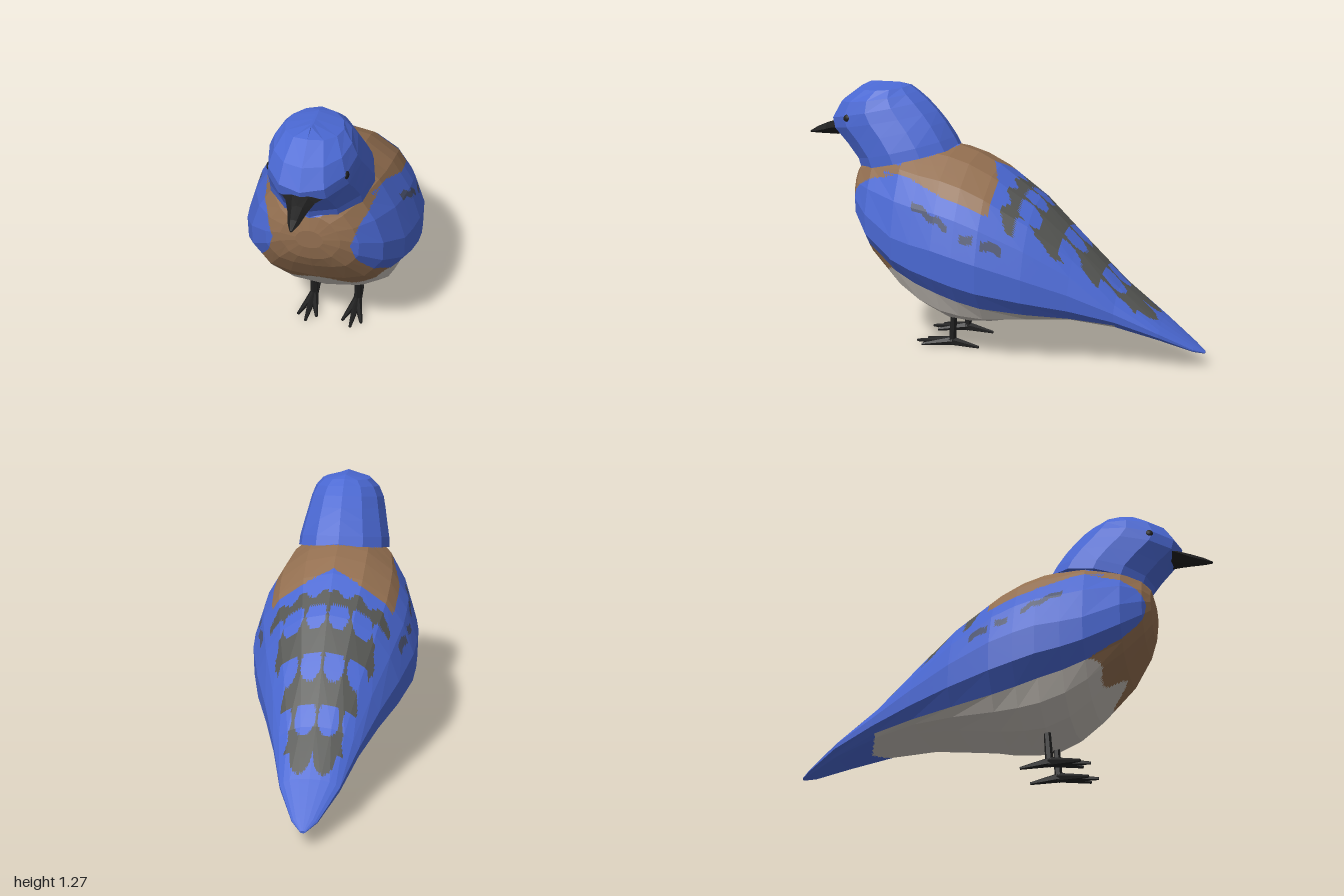
import * as THREE from 'three';

const mat = (name, color) => Object.assign(new THREE.MeshStandardMaterial({ color }), { name });
const blue = mat('blue plumage', 0x4a68d2);
const brown = mat('brown plumage', 0x936f50);
const grey = mat('grey belly', 0xc4beb7);
const slate = mat('slate feather', 0x545552);
const dusk = mat('dusky fleck', 0x4c5470);
const black = mat('black', 0x1e1e1e);

// Piecewise linear lookup in a table of [input, output] pairs, ascending
function lookup(table, v) {
  if (v <= table[0][0]) return table[0][1];
  for (let i = 1; i < table.length; i++) {
    const [a, p] = table[i - 1], [b, q] = table[i];
    if (v <= b) return p + (q - p) * (v - a) / (b - a);
  }
  return table[table.length - 1][1];
}

// Joins closed rings into faceted triangles with both ends capped
function loftFaces(rings) {
  const faces = [], n = rings[0].length;
  const centre = ring => ring.reduce((s, p) => s.add(p), new THREE.Vector3()).divideScalar(n);
  const first = rings[0], last = rings[rings.length - 1];
  const c0 = centre(first), c1 = centre(last);
  for (let j = 0; j < n; j++) {
    const k = (j + 1) % n;
    faces.push([c0, first[k], first[j]], [c1, last[j], last[k]]);
    for (let i = 0; i < rings.length - 1; i++) {
      const a = rings[i][j], b = rings[i][k], c = rings[i + 1][k], d = rings[i + 1][j];
      if (j < n / 2) faces.push([a, b, c], [a, c, d]);
      else faces.push([a, b, d], [b, c, d]);
    }
  }
  return faces;
}

// Cuts every facet into n x n flat pieces and groups them by painted material
function paintedMesh(name, faces, n, materials, paint) {
  const buckets = materials.map(() => []);
  const u = new THREE.Vector3(), v = new THREE.Vector3();
  for (const [a, b, c] of faces) {
    u.subVectors(b, a).divideScalar(n);
    v.subVectors(c, a).divideScalar(n);
    const at = (i, j) => a.clone().addScaledVector(u, i).addScaledVector(v, j);
    const add = (p, q, r) => {
      const m = p.clone().add(q).add(r).divideScalar(3);
      const out = buckets[materials.indexOf(paint(m))];
      for (const w of [p, q, r]) out.push(w.x, w.y, w.z);
    };
    for (let i = 0; i < n; i++) for (let j = 0; j < n - i; j++) {
      add(at(i, j), at(i + 1, j), at(i, j + 1));
      if (i + j < n - 1) add(at(i + 1, j), at(i + 1, j + 1), at(i, j + 1));
    }
  }
  const geometry = new THREE.BufferGeometry();
  geometry.setAttribute('position', new THREE.Float32BufferAttribute(buckets.flat(), 3));
  let start = 0;
  buckets.forEach((b, i) => {
    geometry.addGroup(start, b.length / 3, i);
    start += b.length / 3;
  });
  geometry.computeVertexNormals();
  const mesh = new THREE.Mesh(geometry, materials.length > 1 ? materials : materials[0]);
  mesh.name = name;
  return mesh;
}

// Body sections: z, top, widest height, wing lower edge, belly, half width
const SECTIONS = [
  [0.72, 0.80, 0.76, 0.73, 0.71, 0.06],
  [0.705, 0.87, 0.76, 0.69, 0.64, 0.13],
  [0.67, 0.92, 0.73, 0.62, 0.575, 0.205],
  [0.58, 0.98, 0.68, 0.52, 0.445, 0.295],
  [0.42, 1.02, 0.60, 0.42, 0.27, 0.365],
  [0.32, 1.00, 0.58, 0.375, 0.19, 0.385],
  [0.21, 0.985, 0.565, 0.34, 0.143, 0.40],
  [0.11, 0.955, 0.54, 0.31, 0.14, 0.40],
  [0.00, 0.90, 0.51, 0.285, 0.153, 0.39],
  [-0.20, 0.76, 0.445, 0.262, 0.195, 0.335],
  [-0.40, 0.57, 0.37, 0.245, 0.217, 0.26],
  [-0.60, 0.375, 0.28, 0.215, 0.185, 0.19],
  [-0.80, 0.22, 0.185, 0.155, 0.13, 0.13],
  [-0.95, 0.115, 0.10, 0.09, 0.08, 0.055],
  [-1.00, 0.08, 0.077, 0.073, 0.07, 0.012],
];
const WING_LOWER = SECTIONS.map(s => [s[0], s[3]]).reverse();
const WING_UPPER = [[-0.05, 0.71], [0, 0.73], [0.2, 0.80], [0.38, 0.87], [0.5, 0.88], [0.58, 0.86], [0.64, 0.82]];
const WING_FRONT = [[0.28, 0.32], [0.4, 0.31], [0.5, 0.27], [0.62, 0.2], [0.72, 0.17], [0.8, 0.2], [0.87, 0.25]];
const HEAD_LINE = [[0.2, 0.985], [0.3, 0.95], [0.42, 0.925]];
const MANTLE = [[-0.78, 0.1], [-0.5, 0.16], [-0.3, 0.22], [-0.1, 0.28]];

// Domed back, upright flank, tucked wing underside, then rounded belly
function bodyRing([z, top, wide, low, belly, w]) {
  const half = [[0, top]];
  for (let i = 1; i <= 3; i++) {
    const t = Math.PI / 2 * (1 - i / 4);
    half.push([w * 0.94 * Math.cos(t), wide + (top - wide) * Math.sin(t)]);
  }
  half.push([w, wide], [w * 0.995, low + (wide - low) * 0.4]);
  for (let i = 0; i <= 3; i++) {
    const t = Math.PI / 6 * i;
    half.push([w * 0.83 * Math.cos(t), low - (low - belly) * Math.sin(t)]);
  }
  const mirrored = half.slice(1, -1).reverse().map(([x, y]) => [-x, y]);
  return half.concat(mirrored).map(([x, y]) => new THREE.Vector3(x, y, z));
}

// Blue feather tips over the slate mantle, ending in two slate lobes
function mantle(x, z) {
  const edge = lookup(MANTLE, z) + 0.015 * Math.sin(z * 33);
  if (z > -0.09 + 0.015 * Math.sin(x * 60) || x > edge) return blue;
  if (z < -0.69 && Math.hypot((x - 0.052) / 0.05, (z + 0.69) / 0.09) > 1) return blue;
  for (const row of [-0.19, -0.38, -0.57]) for (const col of [0.052, 0.16, 0.255]) {
    const r = Math.hypot((x - col) / 0.047, (z - row) / (z < row ? 0.06 : 0.07));
    if (r < 1 && z < row + 0.045) return blue;
  }
  return slate;
}

function plumage({ x, y, z }) {
  const ax = Math.abs(x);
  const chest = () => (y < 0.39 + 0.038 * Math.cos(x * 21) ? grey : brown);
  if (y < lookup(WING_LOWER, z) && z < 0.5) {
    if (z < -0.66 + ax * 0.4) return blue;
    return z < 0.3 ? grey : chest();
  }
  // feathers meeting the head
  if (z > 0.42 ? y > 0.857 + 0.25 * ax : z > 0.2 && y > lookup(HEAD_LINE, z)) return blue;
  if (z > 0.3 && ax < lookup(WING_FRONT, y) && y < 0.87) return chest();
  const backEdge = -0.03 + 0.06 * Math.max(0, 1 - ax / 0.14);
  if (z > backEdge && y > lookup(WING_UPPER, z)) return brown;
  // flecks along the folded wing
  const wave = 0.007 * Math.sin(z * 75);
  if (z > 0.14 && z < 0.33 && Math.abs(y - 0.595 - 0.5 * z - wave) < 0.017) return dusk;
  if (z > -0.11 && z < 0.08 && Math.abs(z) > 0.02 && Math.abs(y - 0.605 - 0.3 * z - wave) < 0.02) return dusk;
  return z < 0 ? mantle(ax, z) : blue;
}

// Tilted oval ring between a front and a back point; drop lowers the sides
function headRing([zf, yf, zb, yb, w, drop = 0]) {
  const ring = [];
  for (let i = 0; i < 12; i++) {
    const t = i / 12 * Math.PI * 2, f = (1 + Math.cos(t)) / 2, s = Math.sin(t);
    ring.push(new THREE.Vector3(w * s, yb + (yf - yb) * f - drop * Math.abs(s), zb + (zf - zb) * f));
  }
  return ring;
}
const HEAD = [
  [0.705, 0.853, 0.21, 0.975, 0.232],
  [0.72, 0.90, 0.235, 1.02, 0.228],
  [0.78, 0.97, 0.28, 1.09, 0.212],
  [0.85, 1.04, 0.32, 1.14, 0.198],
  [0.86, 1.09, 0.37, 1.19, 0.186],
  [0.81, 1.175, 0.42, 1.23, 0.163, 0.008],
  [0.71, 1.247, 0.46, 1.257, 0.124, 0.012],
  [0.66, 1.27, 0.51, 1.27, 0.004],
];

// Beak sections: z, top, middle, bottom, half width
const BEAK = [
  [1.0, 1.006, 1.003, 0.998, 0.006],
  [0.96, 1.03, 1.01, 0.997, 0.024],
  [0.9, 1.055, 1.025, 0.997, 0.04],
  [0.85, 1.07, 1.04, 0.997, 0.06],
  [0.79, 1.078, 1.045, 1.005, 0.105],
];
const beakRing = ([z, top, mid, low, w]) => [
  [0, top], [w * 0.55, top - (top - mid) * 0.2], [w, mid], [w * 0.45, low + (mid - low) * 0.25],
  [0, low], [-w * 0.45, low + (mid - low) * 0.25], [-w, mid], [-w * 0.55, top - (top - mid) * 0.2],
].map(([x, y]) => new THREE.Vector3(x, y, z));

// Tapered low-poly rod between two points
function rod(name, from, to, r0, r1) {
  const a = new THREE.Vector3(...from), b = new THREE.Vector3(...to);
  const geometry = new THREE.CylinderGeometry(r1, r0, a.distanceTo(b), 6).toNonIndexed();
  geometry.computeVertexNormals();
  const mesh = new THREE.Mesh(geometry, black);
  mesh.name = name;
  mesh.position.copy(a).lerp(b, 0.5);
  mesh.quaternion.setFromUnitVectors(new THREE.Vector3(0, 1, 0), b.sub(a).normalize());
  return mesh;
}

export function createModel() {
  const bird = new THREE.Group();
  bird.name = 'bird';
  bird.add(
    paintedMesh('body', loftFaces(SECTIONS.map(bodyRing)), 13, [blue, brown, grey, slate, dusk], plumage),
    paintedMesh('head', loftFaces(HEAD.map(headRing)), 1, [blue], () => blue),
    paintedMesh('beak', loftFaces(BEAK.map(beakRing)), 1, [black], () => black),
  );
  for (const [label, s] of [['left', 1], ['right', -1]]) {
    const eye = new THREE.Mesh(new THREE.IcosahedronGeometry(0.021, 1), black);
    eye.name = label + 'Eye';
    eye.position.set(s * 0.158, 1.106, 0.718);
    eye.scale.x = 0.7;
    bird.add(eye);

    // leg with three front toes and one back toe
    const leg = new THREE.Group();
    leg.name = label + 'Leg';
    const x = s * 0.11;
    leg.add(rod('shank', [x, 0.02, 0.215], [x, 0.19, 0.205], 0.019, 0.016));
    for (const [dx, z] of [[0, 0.4], [0.046, 0.36], [-0.046, 0.36], [0, 0.08]]) {
      leg.add(rod('toe', [x, 0.026, 0.215], [x + dx, 0.008, z], 0.023, 0.007));
    }
    bird.add(leg);
  }
  return bird;
}
